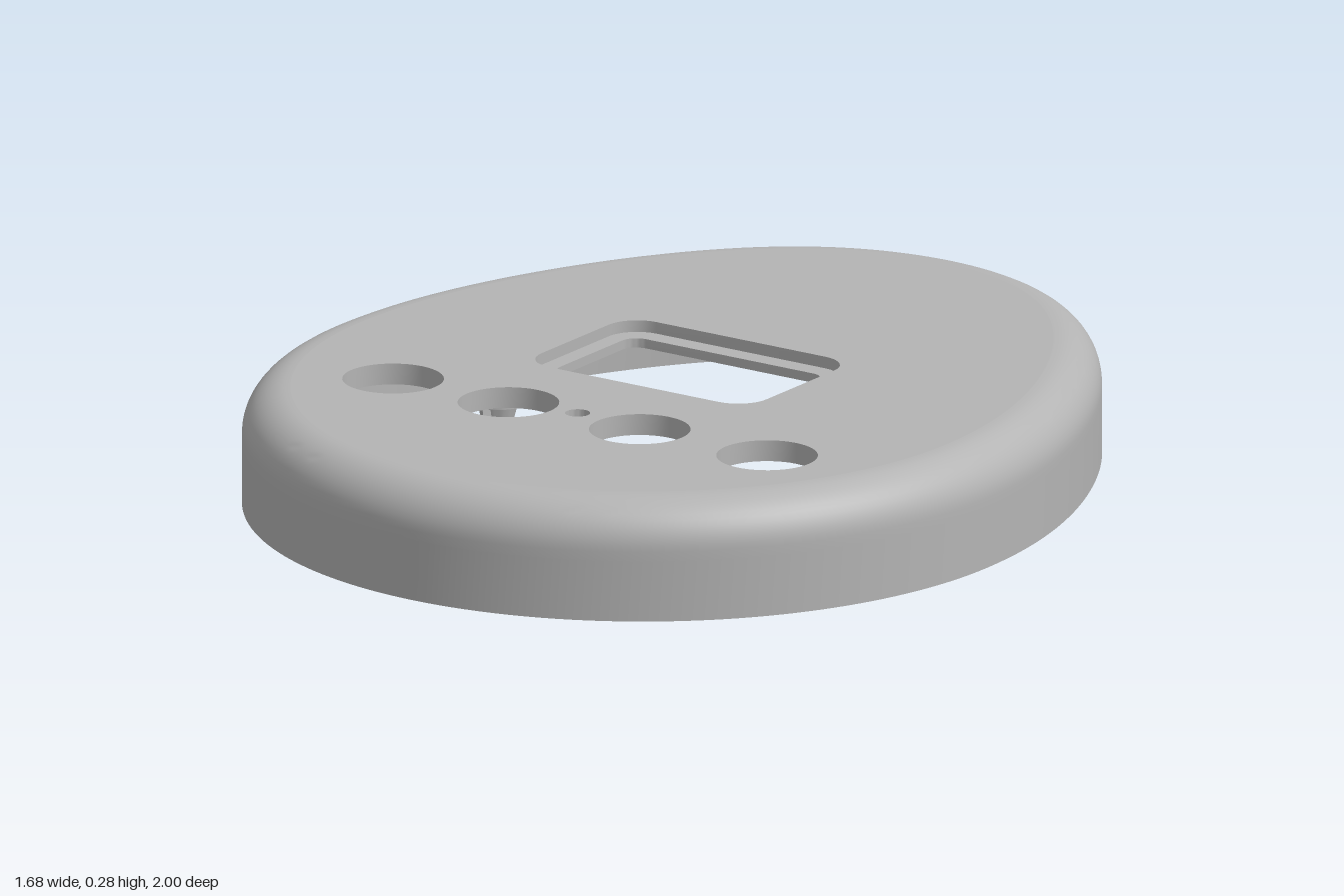
import * as THREE from 'three';
import { toCreasedNormals } from 'three/addons/utils/BufferGeometryUtils.js';

const plastic = new THREE.MeshStandardMaterial({ color: 0xb4b4b4, side: THREE.DoubleSide });
plastic.name = 'grey plastic';

const BOTTOM = 0.03, TOP = 0.28, FILLET = 0.1, WALL = 0.06, CEILING = 0.235, SHELF = 0.255;
const BEND = TOP - FILLET; // height where the rounded edge starts
const PORT_T = -0.942, PORT_SPEED = 1.04, PORT_MID = 0.16;

// Egg outline, t = 0 at the narrow back end, running clockwise seen from above
function egg(t) {
  const c = Math.cos(t), k = c > 0 ? 1 - 0.16 * c * c * (1 - c * c) : 1;
  return new THREE.Vector2(0.84 * k * Math.sin(t), 0.14 - c * (c > 0 ? 1.14 : 0.86));
}
function inset(t, d) {
  const a = egg(t - 0.001), b = egg(t + 0.001), n = b.sub(a).normalize();
  return egg(t).add(new THREE.Vector2(-n.y, n.x).multiplyScalar(d));
}
const at = (t, d, y) => { const p = inset(t, d); return new THREE.Vector3(p.x, y, p.y); };

// Lower and upper edge of the side openings at distance u along the wall
function opening(u) {
  const a = Math.abs(u), r = 0.035, s = Math.abs(a - 0.175);
  if (a <= 0.13) {
    const e = Math.max(0, a - 0.13 + r), d = r - Math.sqrt(Math.max(0, r * r - e * e));
    return [0.09 + d, 0.225 - d];
  }
  const h = s < 0.03 ? Math.sqrt(0.0009 - s * s) : 0;
  return [PORT_MID - h, PORT_MID + h];
}

// Outline columns: an even ring plus extra ones around the openings
function columns() {
  const ts = [];
  for (let i = 0; i < 180; i++) ts.push(-Math.PI + (i / 180) * Math.PI * 2);
  const us = [0.03, 0.06, 0.095, 0.108, 0.118, 0.125, 0.129, 0.13, 0.1301];
  for (let k = 0; k <= 12; k++) us.push(0.175 + 0.03 * Math.cos((k * Math.PI) / 12));
  us.forEach(u => ts.push(PORT_T + u / PORT_SPEED, PORT_T - u / PORT_SPEED));
  return ts.sort((a, b) => a - b);
}

// Closed skin through rows of points
function loft(rows) {
  const n = rows[0].length, index = [];
  for (let j = 0; j < rows.length - 1; j++) {
    for (let i = 0; i < n; i++) {
      const k = (i + 1) % n, a = j * n + i, b = j * n + k;
      index.push(a, a + n, b, b, a + n, b + n);
    }
  }
  const g = new THREE.BufferGeometry().setFromPoints(rows.flat());
  g.setIndex(index);
  return toCreasedNormals(g, 0.6);
}

// Flat horizontal face with holes
function face(outline, holes, y, up) {
  const s = up ? -1 : 1, flip = pts => pts.map(p => new THREE.Vector2(p.x, s * p.y));
  const shape = new THREE.Shape(flip(outline));
  shape.holes = holes.map(h => new THREE.Path(flip(h)));
  return new THREE.ShapeGeometry(shape).rotateX((s * Math.PI) / 2).translate(0, y, 0);
}
const ring = (pts, y) => pts.map(p => new THREE.Vector3(p.x, y, p.y));

function circle(x, z, r) {
  return Array.from({ length: 48 }, (_, i) => {
    const a = (i / 48) * Math.PI * 2;
    return new THREE.Vector2(x + r * Math.cos(a), z + r * Math.sin(a));
  });
}
function roundRect(x, z, w, d, r) {
  const pts = [];
  [[1, 1], [-1, 1], [-1, -1], [1, -1]].forEach(([sx, sz], q) => {
    for (let i = 0; i <= 8; i++) {
      const a = (q + i / 8) * Math.PI / 2;
      pts.push(new THREE.Vector2(x + sx * (w / 2 - r) + r * Math.cos(a), z + sz * (d / 2 - r) + r * Math.sin(a)));
    }
  });
  return pts;
}

// Half of a split, tapered pin
function prong(side) {
  const g = new THREE.CylinderGeometry(0.043, 0.027, 0.065, 28);
  const p = g.attributes.position;
  for (let i = 0; i < p.count; i++) p.setX(i, Math.max(p.getX(i), 0.01));
  if (side < 0) g.rotateY(Math.PI);
  return toCreasedNormals(g, 0.6);
}

export function createModel() {
  const model = new THREE.Group();
  model.name = 'eggShapedCover';
  const add = (name, geometry, parent = model) => {
    const m = new THREE.Mesh(geometry, plastic);
    m.name = name;
    parent.add(m);
    return m;
  };

  // Side wall, split into bands below and above the openings
  const ts = columns();
  const edges = ts.map(t => opening((t - PORT_T) * PORT_SPEED));
  const row = f => ts.map((t, i) => f(t, edges[i][0], edges[i][1]));
  const onOuter = (t, a) => at(t, FILLET * (1 - Math.cos(a)), BEND + FILLET * Math.sin(a));
  const angle = y => Math.asin(Math.max(0, (y - BEND) / FILLET));
  const outerBottom = row(t => at(t, 0, BOTTOM));
  const outerLow = row((t, lo) => at(t, 0, lo));
  const outerHigh = row((t, lo, hi) => (hi < BEND ? at(t, 0, hi) : onOuter(t, angle(hi))));
  const innerBottom = row(t => at(t, WALL, BOTTOM));
  const innerLow = row((t, lo) => at(t, WALL, lo));
  const innerHigh = row((t, lo, hi) => at(t, WALL, hi));
  const innerTop = row(t => at(t, WALL, CEILING));
  const rounded = [];
  for (let k = 0; k <= 12; k++) {
    rounded.push(row((t, lo, hi) => onOuter(t, THREE.MathUtils.lerp(angle(hi), Math.PI / 2, k / 12))));
  }
  add('outerWallLower', loft([outerBottom, outerLow]));
  add('outerWallRounded', loft([outerHigh, ...rounded]));
  add('innerWallLower', loft([innerLow, innerBottom]));
  add('innerWallUpper', loft([innerTop, innerHigh]));
  add('bottomRim', loft([innerBottom, outerBottom]));
  add('portFloor', loft([outerLow, innerLow]));
  add('portRoof', loft([innerHigh, outerHigh]));

  // Top plate with button holes, indicator hole and stepped screen window
  const round = [-0.46, -0.17, 0.16, 0.48].map(x => circle(x, 0.415, 0.105));
  round.push(circle(-0.01, 0.395, 0.026));
  const recess = roundRect(-0.027, -0.027, 0.565, 0.385, 0.07);
  const screen = roundRect(-0.025, -0.028, 0.49, 0.295, 0.035);
  add('topFace', face(ts.map(t => inset(t, FILLET)), [...round, recess], TOP, true));
  add('ceiling', face(ts.map(t => inset(t, WALL)), [...round, screen], CEILING, false));
  add('screenShelf', face(recess, [screen], SHELF, true));
  add('screenRecessWall', loft([ring(recess, TOP), ring(recess, SHELF)]));
  add('screenOpeningWall', loft([ring(screen, SHELF), ring(screen, CEILING)]));
  round.forEach((c, i) => add(i < 4 ? 'buttonHoleWall' : 'indicatorHoleWall', loft([ring(c, TOP), ring(c, CEILING)])));

  // Mounting posts with split snap pins
  [[-0.59, -0.15], [-0.015, -0.79], [0.61, 0.215]].forEach(([x, z]) => {
    const post = new THREE.Group();
    post.name = 'mountingPost';
    post.position.set(x, 0, z);
    add('postBody', new THREE.CylinderGeometry(0.063, 0.063, 0.175, 32), post).position.y = 0.1525;
    [1, -1].forEach(s => { add('snapPin', prong(s), post).position.y = 0.0325; });
    model.add(post);
  });

  // Small catch on the inside of the front wall
  add('frontCatch', new THREE.BoxGeometry(0.07, 0.022, 0.02)).position.set(-0.1, 0.11, 0.93);

  return model;
}
